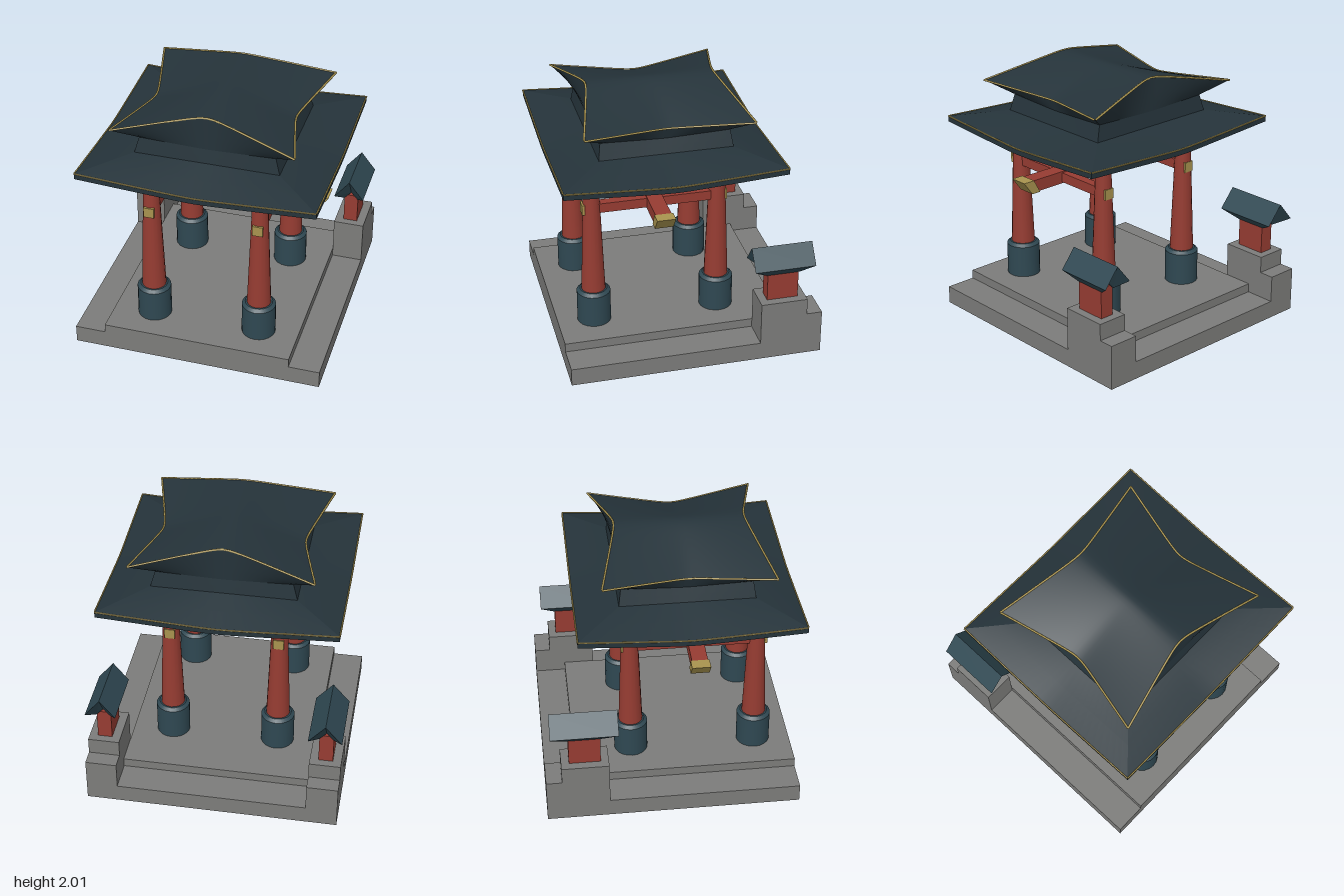
import * as THREE from 'three';
import { ParametricGeometry } from 'three/addons/geometries/ParametricGeometry.js';

const mat = (color, side = THREE.FrontSide) => new THREE.MeshStandardMaterial({ color, side });

export function createModel() {
  const model = new THREE.Group();
  const stone = mat(0x7c7c7a), red = mat(0x963c32), gold = mat(0xa8934f);
  const slate = mat(0x2f4852), tile = mat(0x25333a, THREE.DoubleSide);

  const add = (name, geometry, material, parent = model) => {
    const mesh = new THREE.Mesh(geometry, material);
    mesh.name = name;
    parent.add(mesh);
    return mesh;
  };
  // box given by its minimum and maximum corners
  const box = (name, material, x0, x1, y0, y1, z0, z1, parent) =>
    add(name, new THREE.BoxGeometry(x1 - x0, y1 - y0, z1 - z0), material, parent)
      .position.set((x0 + x1) / 2, (y0 + y1) / 2, (z0 + z1) / 2);

  // stone platform
  box('baseSlab', stone, -0.97, 0.97, 0, 0.14, -0.97, 0.97);
  box('upperSlab', stone, -0.73, 0.73, 0.14, 0.21, -0.73, 0.97);

  // small gabled lantern roof: outer gable, with the underside drawn in at the ends
  const lanternRoof = (w, d) => {
    const section = [[0, 0.915, d], [w, 0.767, d], [0.055, 0.695, 0.13],
      [0, 0.755, 0.13], [-0.055, 0.695, 0.13], [-w, 0.767, d]];
    const p = [];
    const P = (i, side) => [section[i % 6][0], section[i % 6][1], section[i % 6][2] * side];
    const quad = (a, b, c, e) => p.push(...a, ...b, ...c, ...a, ...c, ...e);
    for (let i = 0; i < 6; i++) quad(P(i, 1), P(i, -1), P(i + 1, -1), P(i + 1, 1));
    for (const h of [[0, 3, 2, 1], [0, 5, 4, 3]]) {
      quad(...h.map(i => P(i, 1)).reverse());
      quad(...h.map(i => P(i, -1)));
    }
    const g = new THREE.BufferGeometry();
    g.setAttribute('position', new THREE.Float32BufferAttribute(p, 3));
    g.computeVertexNormals();
    return g;
  };
  const lanternMat = mat(0x2f4852, THREE.DoubleSide);

  // stepped corner pedestals, each with a lantern
  for (const s of [-1, 1]) {
    const corner = new THREE.Group();
    corner.name = s > 0 ? 'leftLantern' : 'rightLantern';
    corner.position.x = s * 0.85;
    model.add(corner);
    box('pedestal', stone, -0.12, 0.12, 0.14, 0.48, -0.85, -0.49, corner);
    box('pedestalStep', stone, -0.12, 0.12, 0.14, 0.35, -0.97, -0.85, corner);
    box('lanternBody', red, -0.055, 0.055, 0.48, 0.72, -0.79, -0.55, corner);
    add('lanternRoof', s > 0 ? lanternRoof(0.117, 0.235) : lanternRoof(0.127, 0.255), lanternMat, corner)
      .position.z = -0.67;
  }

  // four tapered pillars on round footings
  for (const x of [-0.415, 0.42]) {
    for (const z of [-0.28, 0.685]) {
      add('footing', new THREE.CylinderGeometry(0.13, 0.13, 0.255, 20), slate).position.set(x, 0.3375, z);
      add('footingBevel', new THREE.CylinderGeometry(0.105, 0.13, 0.022, 20), slate).position.set(x, 0.476, z);
      add('pillar', new THREE.CylinderGeometry(0.053, 0.093, 1.07, 16), red).position.set(x, 1.015, z);
    }
    // side tie beam, with gold end plates
    box('sideBeam', red, x - 0.035, x + 0.035, 1.145, 1.22, -0.335, 0.75);
    for (const z of [-0.34, 0.75]) box('beamPlate', gold, x - 0.04, x + 0.04, 1.142, 1.223, z - 0.008, z + 0.012);
  }

  // long cross beam with slanted gold tips
  const slab = (points, depth) => new THREE.ExtrudeGeometry(
    new THREE.Shape(points.map(q => new THREE.Vector2(...q))), { depth, bevelEnabled: false }
  ).translate(0, 0, 0.21 - depth / 2);
  add('crossBeam', slab([[-0.685, 1.135], [0.685, 1.135], [0.75, 1.23], [-0.75, 1.23]], 0.12), red);
  for (const s of [-1, 1]) {
    const tip = [[0.683, 1.13], [0.757, 1.13], [0.835, 1.235], [0.74, 1.235]].map(([x, y]) => [s * x, y]);
    add('beamTip', slab(tip, 0.14), gold);
  }

  // roof levels as functions on the square [-1, 1] x [-1, 1]
  const V = (x, y, z) => new THREE.Vector3(x, y, z + 0.14);
  const e = 0.1;
  const bend = t => (Math.hypot(t, e) - e) / (Math.hypot(1, e) - e); // softened |t|
  const soffit = (a, b) => V(0.9 * a, 1.485 + 0.045 * bend(a) * bend(b), 0.83 * b);
  const lowerEave = (a, b) => soffit(a, b).add(new THREE.Vector3(0, 0.045, 0));
  const neckBase = (a, b) => V(0.55 * a, 1.625, 0.505 * b);
  const neckTop = (a, b) => V(0.515 * a, 1.735 + 0.015 * bend(a) * bend(b), 0.487 * b);
  const upperRoof = (a, b) => V(
    a * (0.545 + 0.145 * bend(b)),
    2 - bend(a) * (0.175 - 0.04 * bend(b)),
    b * (0.49 + 0.145 * bend(a)));

  // point on one side of the square, t running anticlockwise seen from above
  const edge = (side, t) => [[t, 1], [1, -t], [-t, -1], [-1, t]][side];
  const patch = (name, f, nu, nv) =>
    add(name, new ParametricGeometry((u, v, target) => target.copy(f(u, v)), nu, nv), tile);

  const bands = [
    ['lowerFascia', soffit, lowerEave], ['lowerRoof', lowerEave, neckBase],
    ['neck', neckBase, neckTop], ['upperFlare', neckTop, upperRoof]];
  for (let side = 0; side < 4; side++) {
    for (const [name, from, to] of bands) {
      patch(name, (u, v) => {
        const q = edge(side, 2 * u - 1);
        return from(...q).lerp(to(...q), v);
      }, 24, 2);
    }
    // gold trim on both eaves
    for (const [name, f, r] of [['lowerTrim', lowerEave, 0.006], ['upperTrim', upperRoof, 0.008]]) {
      const points = Array.from({ length: 25 }, (_, i) => f(...edge(side, i / 12 - 1)));
      add(name, new THREE.TubeGeometry(new THREE.CatmullRomCurve3(points), 32, r, 6), gold);
    }
  }
  patch('upperRoof', (u, v) => upperRoof(2 * u - 1, 1 - 2 * v), 32, 32);
  patch('roofUnderside', (u, v) => soffit(2 * u - 1, 2 * v - 1), 24, 24);

  return model;
}
